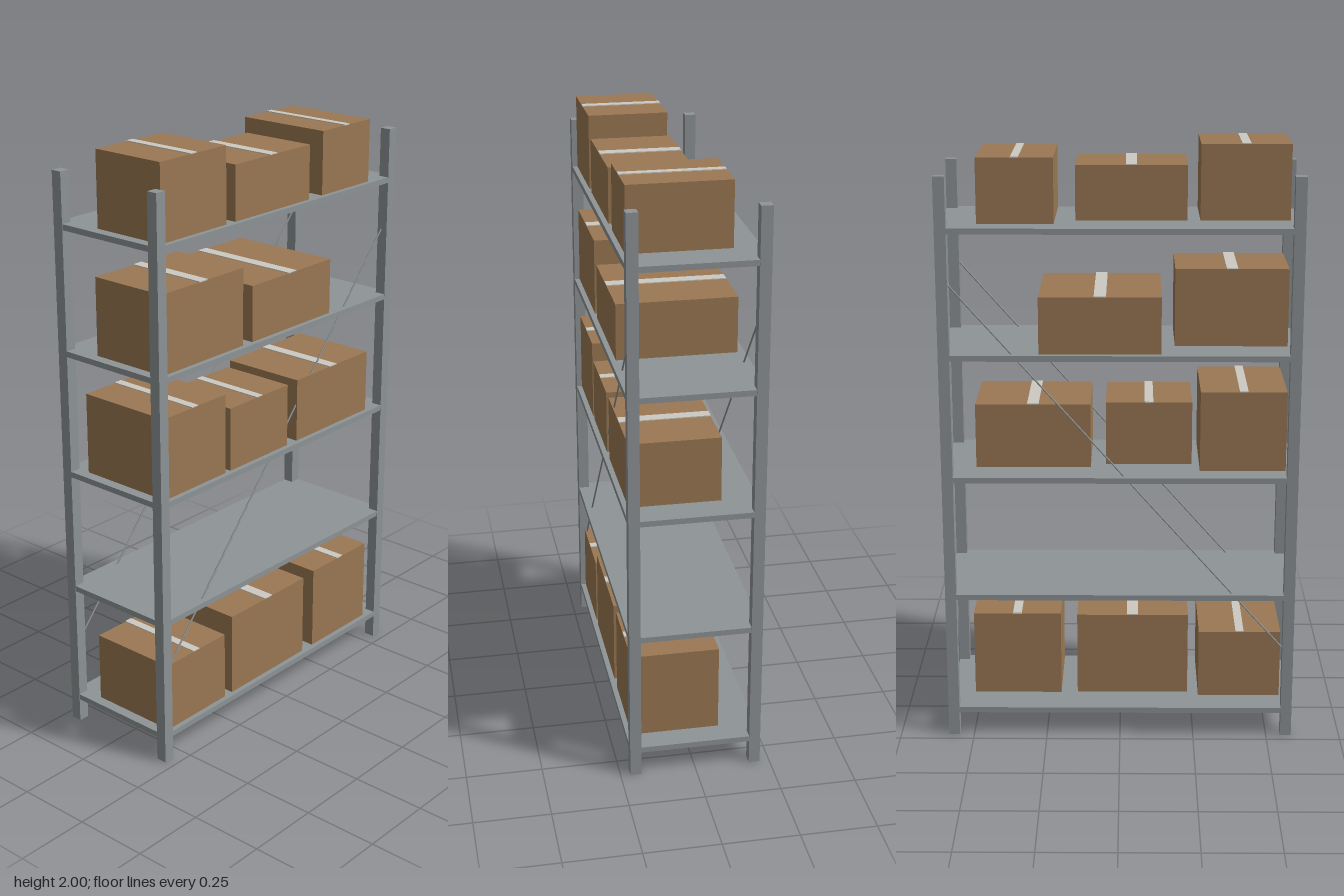
import * as THREE from 'three';

const steel = new THREE.MeshStandardMaterial({ color: 0x8e9496 });
const cardboard = new THREE.MeshStandardMaterial({ color: 0x9a7853 });
const tapeGrey = new THREE.MeshStandardMaterial({ color: 0xcccac2 });

// Half width and half depth of the rack, post size, shelf thickness
const HX = 0.586, HZ = 0.218, POST = 0.037, POST_H = 1.915, SHELF = 0.019;
const SHELF_TOPS = [0.101, 0.5135, 0.926, 1.3385, 1.751];
const BOX_FRONT = 0.2;

// Cartons per shelf: [left x, right x, height, back z]
const CARTONS = [
  [[-0.55, -0.27, 0.237, -0.114], [-0.233, 0.148, 0.288, -0.088], [0.204, 0.503, 0.294, -0.093]],
  [],
  [[-0.55, -0.265, 0.271, -0.137], [-0.24, 0.048, 0.215, -0.064], [0.098, 0.481, 0.217, -0.098]],
  [[-0.55, -0.179, 0.257, -0.08], [-0.134, 0.263, 0.187, -0.193]],
  [[-0.55, -0.259, 0.246, -0.063], [-0.217, 0.145, 0.179, -0.063], [0.212, 0.46, 0.211, -0.13]],
];

function addBox(parent, name, material, size, position) {
  const mesh = new THREE.Mesh(new THREE.BoxGeometry(...size), material);
  mesh.name = name;
  mesh.position.set(...position);
  parent.add(mesh);
  return mesh;
}

// A carton with a strip of tape running front to back over its lid
function makeCarton([x0, x1, height, back]) {
  const carton = new THREE.Group();
  carton.name = 'carton';
  const width = x1 - x0, depth = BOX_FRONT - back;
  addBox(carton, 'cartonBody', cardboard, [width, height, depth], [0, height / 2, 0]);
  addBox(carton, 'cartonTape', tapeGrey, [width * 0.1, 0.004, depth], [0, height + 0.001, 0]);
  carton.position.set((x0 + x1) / 2, 0, (BOX_FRONT + back) / 2);
  return carton;
}

export function createModel() {
  const rack = new THREE.Group();
  rack.name = 'storageRack';

  // Corner posts
  for (const sx of [-1, 1]) {
    for (const sz of [-1, 1]) {
      addBox(rack, 'post', steel, [POST, POST_H, POST],
        [sx * (HX - POST / 2), POST_H / 2, sz * (HZ - POST / 2)]);
    }
  }

  // Shelves with their cartons, set just inside the outer post faces
  SHELF_TOPS.forEach((top, i) => {
    addBox(rack, 'shelf', steel, [2 * HX - 0.002, SHELF, 2 * HZ - 0.002], [0, top - SHELF / 2, 0]);
    for (const spec of CARTONS[i]) {
      const carton = makeCarton(spec);
      carton.position.y = top;
      rack.add(carton);
    }
  });

  // Diagonal rods on the front and the back
  const low = new THREE.Vector2(-0.567, 0.295), high = new THREE.Vector2(0.567, 1.585);
  const span = high.clone().sub(low);
  for (const sz of [-1, 1]) {
    const rod = new THREE.Mesh(new THREE.CylinderGeometry(0.003, 0.003, span.length(), 8), steel);
    rod.name = 'diagonalBrace';
    rod.position.set(0, (low.y + high.y) / 2, sz * 0.194);
    rod.rotation.z = -Math.atan2(span.x, span.y);
    rack.add(rod);
  }

  return rack;
}
